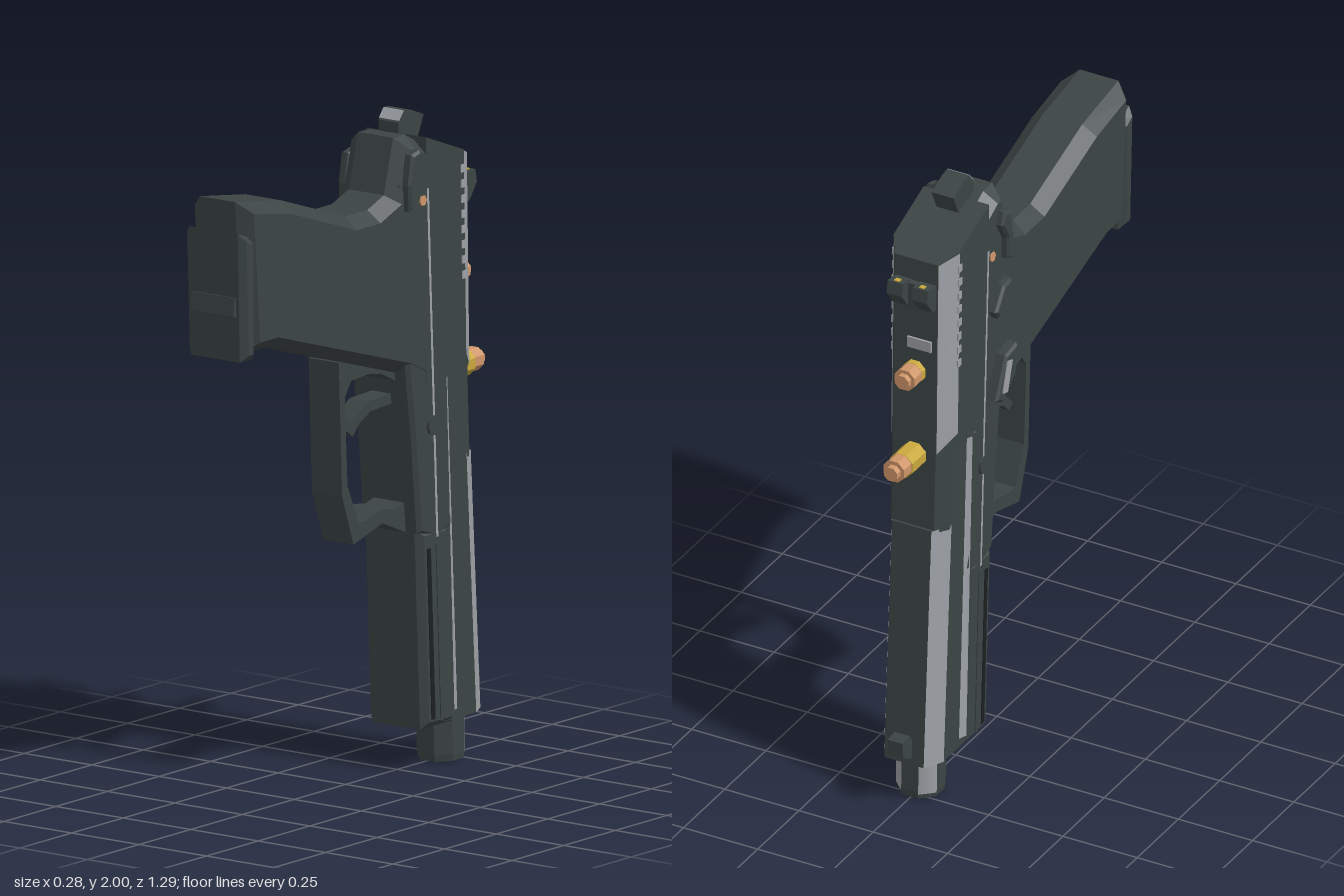
import * as THREE from 'three';

const mat = (name, color, extra = {}) => Object.assign(new THREE.MeshStandardMaterial({ color, ...extra }), { name });

export function createModel() {
  const dark = mat('dark gunmetal', 0x3c4444);
  const steel = mat('bare steel', 0x9da0a5, { side: THREE.DoubleSide });
  const brass = mat('brass', 0xc9a83c);
  const copper = mat('copper', 0xd0966a);
  const black = mat('black recess', 0x1c2020);
  const group = new THREE.Group();

  const add = (name, geo, material = dark) => {
    const m = new THREE.Mesh(geo, material);
    m.name = name;
    group.add(m);
    return m;
  };

  // Side profile in (z, y), extruded across x between two limits, with chamfered rims
  const slab = (name, pts, x0, x1, bevel = 0, material = dark, inset = bevel) => {
    const shape = new THREE.Shape(pts.map(p => new THREE.Vector2(p[0], p[1])));
    const geo = new THREE.ExtrudeGeometry(shape, {
      depth: x1 - x0 - 2 * bevel, bevelEnabled: bevel > 0, bevelSegments: 1,
      bevelThickness: bevel, bevelSize: inset, bevelOffset: -inset,
    });
    geo.translate(0, 0, bevel - x1);
    geo.rotateY(-Math.PI / 2);
    return add(name, geo, material);
  };

  const box = (name, w, h, d, x, y, z, material = dark, tilt = 0) => {
    const m = add(name, new THREE.BoxGeometry(w, h, d), material);
    m.position.set(x, y, z);
    m.rotation.x = tilt;
    return m;
  };

  const mesh = (name, pos, material) => {
    const geo = new THREE.BufferGeometry();
    geo.setAttribute('position', new THREE.Float32BufferAttribute(pos.flat(), 3));
    geo.computeVertexNormals();
    return add(name, geo, material);
  };

  // Flat four-cornered facet, repeated on both sides
  const facets = (name, a, b, c, d) => {
    for (const s of [1, -1]) {
      const [p, q, r, t] = [a, b, c, d].map(v => [s * v[0], v[1], v[2]]);
      mesh(name, s > 0 ? [p, q, r, p, r, t] : [p, r, q, p, t, r], steel);
    }
  };

  // Solid between stacked rings, bottom to top, counterclockwise from above
  const loft = (name, rings) => {
    const pos = [], n = rings[0].length, top = rings[rings.length - 1];
    for (let k = 0; k < rings.length - 1; k++) {
      for (let i = 0; i < n; i++) {
        const j = (i + 1) % n, a = rings[k], b = rings[k + 1];
        pos.push(a[i], a[j], b[j], a[i], b[j], b[i]);
      }
    }
    for (let i = 1; i < n - 1; i++) {
      pos.push(top[0], top[i], top[i + 1], rings[0][0], rings[0][i + 1], rings[0][i]);
    }
    return mesh(name, pos, dark);
  };

  // Slide cross-section with two chamfered corners; slope lowers the rear edge
  const ring = (y, zf, zb, hw, ht, depth = 0.06, slope = 0) => [
    [hw, zf], [hw, zb + depth], [ht, zb], [-ht, zb], [-hw, zb + depth], [-hw, zf],
  ].map(([x, z]) => [x, y + slope * (z - zf), z]);

  // Grip, with the raised tang behind it
  slab('grip', [[0.62, 1.88], [0.40, 1.846], [0.085, 1.74], [-0.02, 1.74], [-0.10, 1.77],
    [-0.145, 1.935], [-0.20, 1.935], [-0.31, 1.88], [-0.33, 1.15], [-0.17, 1.22],
    [0.473, 1.415], [0.59, 1.415]], -0.11, 0.11, 0.045, dark, 0.035);
  slab('magazine base', [[0.64, 1.79], [0.57, 1.765], [0.57, 1.40], [0.63, 1.40]], -0.11, 0.11, 0.02);
  slab('magazine lip', [[0.64, 1.595], [0.648, 1.54], [0.62, 1.53], [0.62, 1.595]], -0.08, 0.08);

  // Frame and dust cover
  slab('frame', [[-0.16, 1.25], [-0.19, 1.02], [-0.218, 0.73], [-0.30, 0.705], [-0.38, 0.73],
    [-0.34, 1.19], [-0.252, 1.25], [-0.252, 1.80], [-0.13, 1.80]], -0.108, 0.108, 0.012);
  slab('dust cover', [[-0.218, 0.74], [-0.245, 0.133], [-0.395, 0.133], [-0.36, 0.74]],
    -0.108, 0.108, 0.02);
  for (const s of [1, -1]) {
    const x = s * 0.107;
    box('rail groove', 0.006, 0.52, 0.018, x, 0.42, -0.272, black, 0.044);
    box('rail rib', 0.008, 0.54, 0.012, x, 0.42, -0.312, dark, 0.044);
    const pin = add('frame pin', new THREE.CylinderGeometry(0.03, 0.03, 0.02, 8));
    pin.rotation.z = Math.PI / 2;
    pin.position.set(s * 0.107, 1.05, -0.28);
  }

  // Trigger guard and trigger
  slab('trigger guard', [[0.106, 1.30], [0.09, 0.894], [0.035, 0.738], [-0.106, 0.777],
    [-0.24, 0.72], [-0.24, 0.83], [-0.17, 0.81], [-0.106, 0.82], [-0.03, 0.80], [0.01, 0.80],
    [0.064, 0.92], [0.077, 1.19], [0.045, 1.235], [-0.04, 1.24], [-0.10, 1.23],
    [-0.18, 1.19], [-0.20, 1.25], [0, 1.31]], -0.056, 0.056);
  slab('trigger', [[-0.20, 1.155], [-0.065, 1.15], [-0.0, 1.11], [0.034, 1.075], [0.012, 1.057],
    [-0.02, 1.09], [-0.075, 1.118], [-0.20, 1.125]], -0.035, 0.035);

  // Slide: rear block, recessed middle and front block
  loft('rear slide', [ring(1.19, -0.25, -0.5, 0.11, 0.073),
    ring(1.925, -0.245, -0.488, 0.11, 0.073, 0.06, 0.38)]);
  loft('middle slide', [ring(0.92, -0.3, -0.508, 0.098, 0.07, 0.04),
    ring(1.2, -0.28, -0.497, 0.098, 0.07, 0.04)]);
  loft('front slide', [ring(0.14, -0.35, -0.563, 0.098, 0.066),
    ring(0.93, -0.3, -0.516, 0.098, 0.066)]);

  // Bare steel chamfers and seams on both sides
  facets('rear chamfer', [0.112, 1.24, -0.438], [0.075, 1.19, -0.501],
    [0.075, 1.832, -0.489], [0.112, 1.853, -0.426]);
  facets('front chamfer', [0.1, 0.14, -0.502], [0.067, 0.14, -0.565],
    [0.067, 0.93, -0.518], [0.1, 0.93, -0.455]);
  facets('rail ledge', [0.11, 0.17, -0.383], [0.1, 0.17, -0.41],
    [0.1, 1.18, -0.362], [0.11, 1.18, -0.345]);
  facets('slide seam', [0.112, 0.71, -0.293], [0.112, 0.71, -0.303],
    [0.112, 1.77, -0.257], [0.112, 1.77, -0.247]);
  for (const s of [1, -1]) {
    for (let i = 0; i < 8; i++) {
      box('slide serration', 0.006, 0.024, 0.02, s * 0.11, 1.8 - i * 0.046, -0.422 - i * 0.001, steel);
    }
  }
  box('extractor plate', 0.08, 0.035, 0.008, -0.015, 1.55, -0.496, steel);

  // Barrel with two bare facets and an open bore
  const barrel = new THREE.Group();
  barrel.name = 'barrel';
  const e = Math.PI / 8;
  const part = (name, geo, material) => {
    const m = new THREE.Mesh(geo, material);
    m.name = name;
    barrel.add(m);
  };
  const tube = new THREE.LatheGeometry([[0.036, 0.09], [0.036, -0.09], [0.07, -0.09], [0.073, -0.07],
    [0.073, 0.09]].map(p => new THREE.Vector2(...p)), 8, e).toNonIndexed();
  tube.computeVertexNormals();
  part('barrel tube', tube, dark);
  part('bore', new THREE.CylinderGeometry(0.037, 0.037, 0.02, 8, 1, false, e), black);
  for (const t of [5 * e, 9 * e]) {
    part('barrel facet', new THREE.CylinderGeometry(0.0745, 0.0745, 0.15, 1, 1, true, t, 2 * e), steel);
  }
  barrel.position.set(0, 0.092, -0.458);
  barrel.rotation.x = 0.03;
  group.add(barrel);

  // Sights
  slab('front sight', [[-0.54, 0.17], [-0.565, 0.16], [-0.615, 0.19], [-0.617, 0.24],
    [-0.575, 0.245], [-0.54, 0.20]], -0.025, 0.025);
  for (const s of [1, -1]) {
    slab('rear sight', [[-0.47, 1.76], [-0.54, 1.77], [-0.547, 1.73], [-0.51, 1.68], [-0.47, 1.68]],
      s * 0.042 - 0.026, s * 0.042 + 0.026);
    box('sight dot', 0.016, 0.008, 0.016, s * 0.042, 1.768, -0.526, brass);
  }
  box('rear sight base', 0.1, 0.08, 0.03, 0, 1.72, -0.495);

  // Hammer
  slab('hammer', [[-0.21, 1.90], [-0.207, 1.965], [-0.235, 2.0], [-0.265, 1.995], [-0.33, 1.97],
    [-0.30, 1.905], [-0.27, 1.85]], -0.037, 0.037);
  box('hammer face', 0.074, 0.004, 0.036, 0, 1.984, -0.222, steel, 0.9);

  // Safety levers, with their pins
  for (const s of [1, -1]) {
    const [a, b] = s > 0 ? [0.1, 0.135] : [-0.135, -0.1];
    const dy = s > 0 ? 0 : -0.025;
    slab('safety lever', [[-0.15, 1.89], [-0.19, 1.90], [-0.205, 1.86], [-0.17, 1.80],
      [-0.17, 1.73], [-0.14, 1.72], [-0.135, 1.80]].map(([z, y]) => [z, y + dy]), a, b, 0.008);
    const pin = add('lever pin', new THREE.CylinderGeometry(0.016, 0.016, 0.01, 6), copper);
    pin.rotation.z = Math.PI / 2;
    pin.position.set(s * 0.11, 1.737, -0.228);
  }

  // Controls on the right side
  slab('slide catch', [[-0.13, 1.40], [-0.2, 1.39], [-0.26, 1.26], [-0.22, 1.24], [-0.14, 1.3]],
    -0.145, -0.1, 0.008);
  box('slide catch face', 0.006, 0.1, 0.03, -0.146, 1.32, -0.2, steel, 0.3);
  slab('decocking lever', [[-0.15, 1.63], [-0.2, 1.63], [-0.25, 1.56], [-0.23, 1.53], [-0.15, 1.56]],
    -0.138, -0.1, 0.008);

  // Cartridges standing out of the back
  const round = (name, r, z0, z1, y, material) => {
    const m = add(name, new THREE.CylinderGeometry(r, r, z0 - z1, 8, 1, false, e).toNonIndexed(), material);
    m.geometry.computeVertexNormals();
    m.rotation.x = Math.PI / 2;
    m.position.set(0, y, (z0 + z1) / 2);
  };
  round('upper casing', 0.037, -0.46, -0.515, 1.455, brass);
  round('upper bullet', 0.036, -0.515, -0.56, 1.455, copper);
  round('upper bullet tip', 0.024, -0.56, -0.577, 1.455, copper);
  round('lower casing', 0.041, -0.46, -0.58, 1.172, brass);
  round('lower bullet', 0.037, -0.58, -0.625, 1.175, copper);
  round('lower bullet tip', 0.024, -0.625, -0.645, 1.175, copper);

  return group;
}
